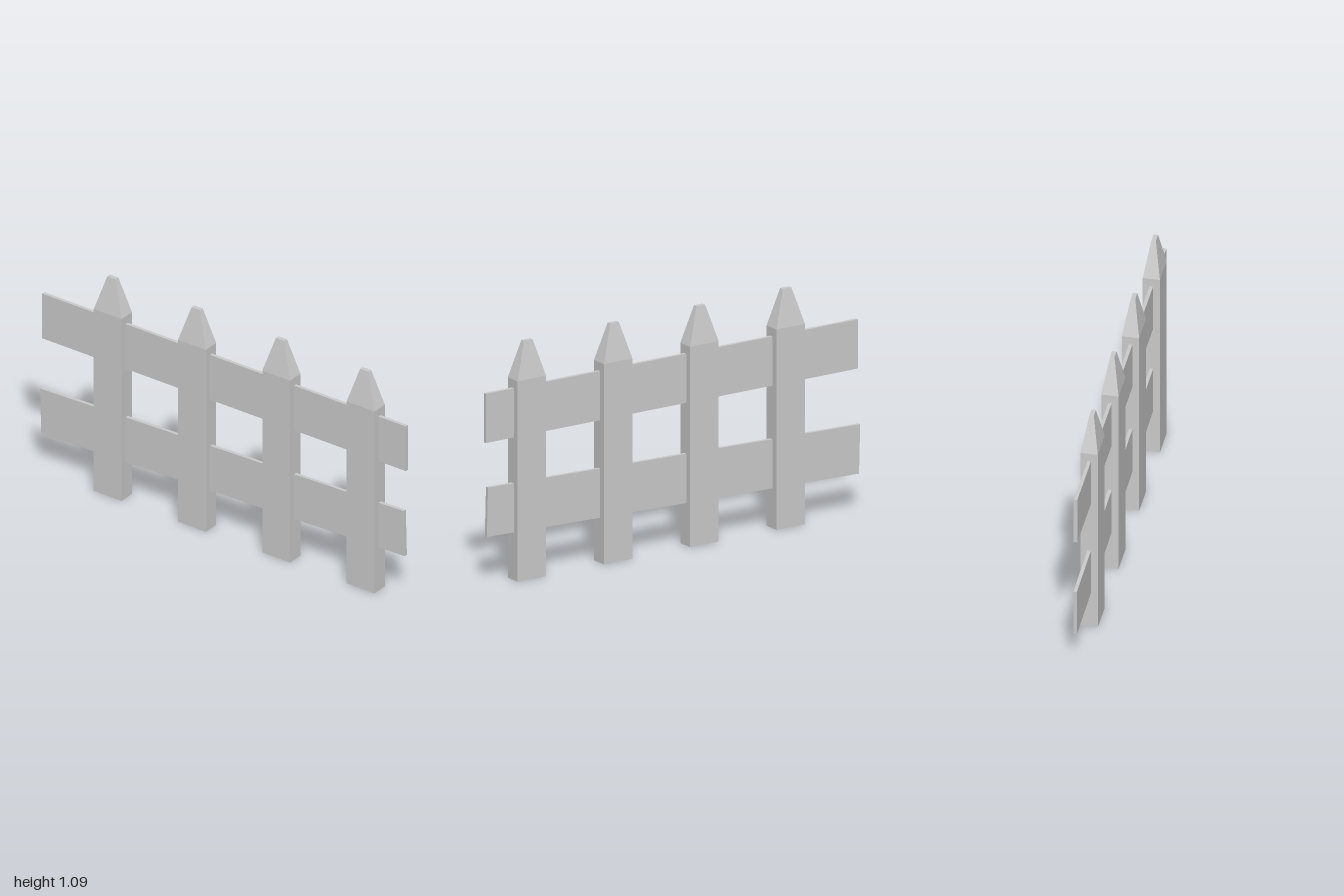
import * as THREE from 'three';

const material = new THREE.MeshStandardMaterial({ color: 0xcccccc, flatShading: true });

const POST = { width: 0.152, depth: 0.077, shoulder: 0.92, top: 1.09, tipWidth: 0.046, tipDepth: 0.02 };
const RAIL = { length: 1.985, height: 0.226, depth: 0.016 };

// Box post with two height segments; the upper one tapers to a small flat tip
function postGeometry() {
  const geometry = new THREE.BoxGeometry(POST.width, 2, POST.depth, 1, 2, 1);
  const p = geometry.attributes.position;
  for (let i = 0; i < p.count; i++) {
    const level = Math.round(p.getY(i)) + 1; // 0 foot, 1 shoulder, 2 tip
    p.setY(i, [0, POST.shoulder, POST.top][level]);
    if (level === 2) {
      p.setX(i, Math.sign(p.getX(i)) * POST.tipWidth / 2);
      p.setZ(i, Math.sign(p.getZ(i)) * POST.tipDepth / 2);
    }
  }
  geometry.computeVertexNormals();
  return geometry;
}

export function createModel() {
  const fence = new THREE.Group();
  fence.name = 'picketFence';

  // Four evenly spaced pointed posts
  const post = postGeometry();
  for (let i = 0; i < 4; i++) {
    const mesh = new THREE.Mesh(post, material);
    mesh.name = `post${i + 1}`;
    mesh.position.x = -0.609 + i * 0.46;
    fence.add(mesh);
  }

  // Two thin rails through the posts; the lower one is slightly tilted
  const rail = new THREE.BoxGeometry(RAIL.length, RAIL.height, RAIL.depth);
  const rails = [
    { name: 'upperRail', x: 0.003, y: 0.768, tilt: 0 },
    { name: 'lowerRail', x: -0.005, y: 0.31, tilt: 0.026 },
  ];
  for (const { name, x, y, tilt } of rails) {
    const mesh = new THREE.Mesh(rail, material);
    mesh.name = name;
    mesh.position.set(x, y, 0);
    mesh.rotation.z = tilt;
    fence.add(mesh);
  }

  return fence;
}
